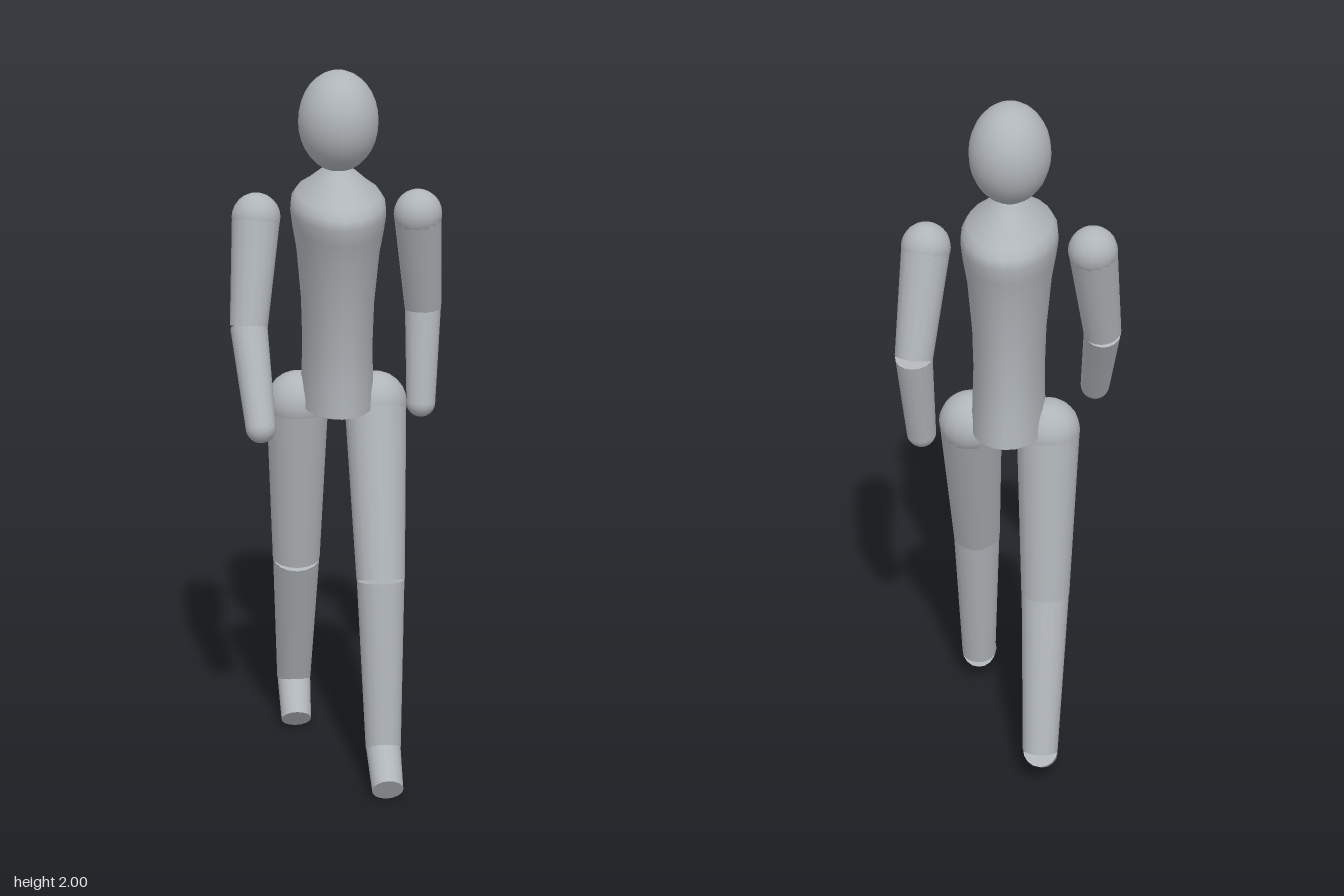
import * as THREE from 'three';

const SIDES = 16;

export function createModel() {
  const model = new THREE.Group();
  const grey = new THREE.MeshStandardMaterial({ color: 0xb0b5b9 });
  grey.name = 'mannequin grey';

  const add = (parent, name, geometry) => {
    const mesh = new THREE.Mesh(geometry, grey);
    mesh.name = name;
    parent.add(mesh);
    return mesh;
  };

  // Ball joint
  const ball = (parent, name, p, r) =>
    add(parent, name, new THREE.SphereGeometry(r, SIDES, 12)).position.set(...p);

  // Tapered capped limb running from a to b
  const limb = (parent, name, a, b, ra, rb) => {
    const from = new THREE.Vector3(...a), to = new THREE.Vector3(...b);
    const axis = from.clone().sub(to);
    const mesh = add(parent, name, new THREE.CylinderGeometry(ra, rb, axis.length(), SIDES));
    mesh.position.copy(from).add(to).multiplyScalar(0.5);
    mesh.quaternion.setFromUnitVectors(new THREE.Vector3(0, 1, 0), axis.normalize());
  };

  // Head
  const head = add(model, 'head', new THREE.SphereGeometry(1, 24, 16));
  head.scale.set(0.109, 0.137, 0.127);
  head.position.set(0, 1.863, -0.004);

  // Torso: narrow oval lathe, leaning slightly forward
  const torso = new THREE.Group();
  torso.name = 'torso';
  torso.position.set(0, 1.067, -0.047);
  torso.rotation.x = 0.062;
  model.add(torso);
  const profile = [
    [0.163, 0], [0.157, 0.09], [0.156, 0.17], [0.166, 0.3], [0.193, 0.445],
    [0.215, 0.51], [0.227, 0.555], [0.222, 0.58], [0.2, 0.6], [0.158, 0.618],
    [0.088, 0.655], [0.03, 0.672], [0, 0.675],
  ].map(([r, y]) => new THREE.Vector2(r, y));
  const body = new THREE.LatheGeometry(profile, 20).scale(0.6, 1, 1);
  const pos = body.attributes.position;
  // The waist is rounder than the chest
  for (let i = 0; i < pos.count; i++) {
    const t = Math.min(pos.getY(i) / 0.56, 1);
    pos.setX(i, pos.getX(i) * THREE.MathUtils.lerp(1.08, 0.96, t));
  }
  add(torso, 'chest and waist', body);
  const base = add(torso, 'torso base', new THREE.CircleGeometry(0.163, 20));
  base.rotation.x = Math.PI / 2;
  base.scale.x = 0.648;

  // Arms and legs in mid stride
  const sides = [
    {
      side: 'left',
      shoulder: [0.222, 1.597, -0.037], elbow: [0.25, 1.31, -0.13], hand: [0.24, 1.043, -0.075],
      hip: [0.107, 1.06, -0.035], knee: [0.107, 0.59, 0.127],
      ankle: [0.109, 0.113, 0.2], toe: [0.109, 0.037, 0.322],
    },
    {
      side: 'right',
      shoulder: [-0.223, 1.597, -0.028], elbow: [-0.25, 1.31, 0.05], hand: [-0.228, 1.063, 0.19],
      hip: [-0.11, 1.06, -0.06], knee: [-0.11, 0.568, -0.138],
      ankle: [-0.108, 0.13, -0.295], toe: [-0.109, 0.037, -0.187],
    },
  ];
  for (const s of sides) {
    const arm = new THREE.Group();
    arm.name = `${s.side} arm`;
    ball(arm, 'shoulder', s.shoulder, 0.067);
    limb(arm, 'upper arm', s.shoulder, s.elbow, 0.066, 0.052);
    limb(arm, 'forearm', s.elbow, s.hand, 0.051, 0.041);
    ball(arm, 'hand', s.hand, 0.041);

    const leg = new THREE.Group();
    leg.name = `${s.side} leg`;
    ball(leg, 'hip', s.hip, 0.088);
    limb(leg, 'thigh', s.hip, s.knee, 0.087, 0.068);
    limb(leg, 'shin', s.knee, s.ankle, 0.067, 0.05);
    limb(leg, 'foot', s.ankle, s.toe, 0.049, 0.044);
    model.add(arm, leg);
  }
  return model;
}
